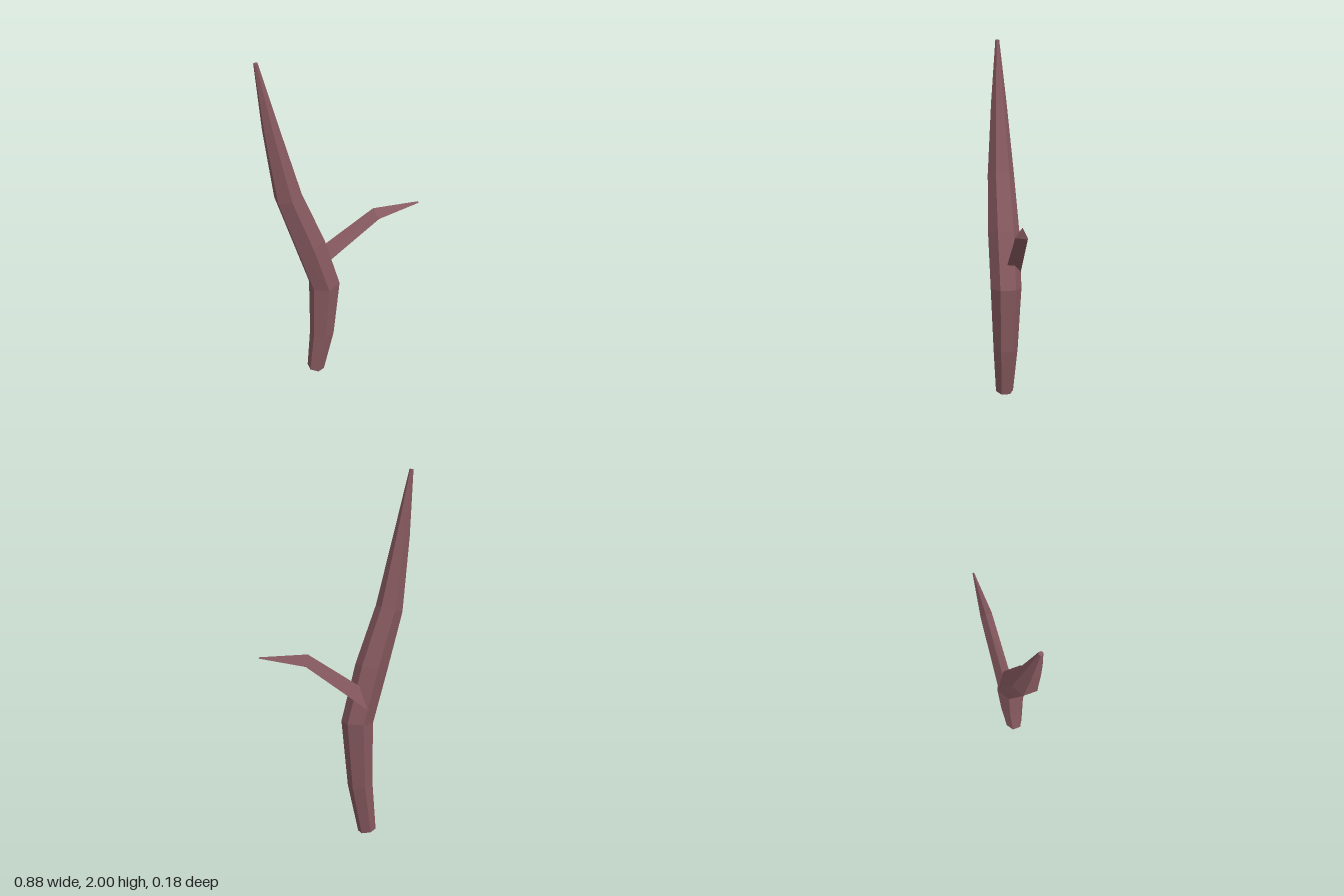
import * as THREE from 'three';

// Skin a list of equal-sized rings of points, closing both ends with a fan.
// Rings run from base to tip, points clockwise as seen from the tip.
function loft(rings) {
  const n = rings[0].length;
  const pos = [];
  const tri = (a, b, c) => pos.push(...a, ...b, ...c);
  for (let i = 0; i < rings.length - 1; i++) {
    for (let j = 0; j < n; j++) {
      const k = (j + 1) % n;
      const a = rings[i][j], b = rings[i][k], c = rings[i + 1][k], d = rings[i + 1][j];
      tri(a, d, c);
      tri(a, c, b);
    }
  }
  const first = rings[0], last = rings[rings.length - 1];
  for (let j = 1; j < n - 1; j++) {
    tri(first[0], first[j], first[j + 1]);
    tri(last[0], last[j + 1], last[j]);
  }
  const geo = new THREE.BufferGeometry();
  geo.setAttribute('position', new THREE.Float32BufferAttribute(pos, 3));
  geo.computeVertexNormals();
  return geo;
}

// Tilted hexagon with flat sides towards its left and right points
function hexRing([lx, ly, rx, ry]) {
  const cx = (lx + rx) / 2, cy = (ly + ry) / 2;
  const r = Math.hypot(rx - lx, ry - ly) / 2 / Math.cos(Math.PI / 6);
  const ring = [];
  for (let j = 0; j < 6; j++) {
    const a = Math.PI / 6 + (j * Math.PI) / 3;
    const u = Math.cos(a) / Math.cos(Math.PI / 6) / 2;
    ring.push([cx + u * (rx - lx), cy + u * (ry - ly), r * Math.sin(a)]);
  }
  return ring;
}

export function createModel() {
  const bark = new THREE.MeshStandardMaterial({ color: 0x875a60, flatShading: true });
  bark.name = 'bark';
  const model = new THREE.Group();
  model.name = 'bareTree';

  const add = (name, geo) => {
    const mesh = new THREE.Mesh(geo, bark);
    mesh.name = name;
    model.add(mesh);
  };

  // Bent trunk: left x, y and right x, y of each ring
  add('trunk', loft([
    [-0.225, 0.018, -0.14, 0.002],
    [-0.2, 0.28, -0.08, 0.275],
    [-0.195, 0.63, -0.045, 0.64],
    [-0.28, 0.925, -0.129, 0.955],
    [-0.37, 1.235, -0.245, 1.27],
    [-0.416, 1.64, -0.341, 1.657],
    [-0.442, 1.998, -0.423, 2.0],
  ].map(hexRing)));

  // Three-sided branch: top, lower back and lower front point of each ring
  add('branch', loft([
    [[-0.17, 0.808, -0.053], [-0.15, 0.715, -0.087], [-0.15, 0.726, -0.001]],
    [[0.18, 1.035, -0.038], [0.2, 0.973, -0.062], [0.2, 0.985, 0.003]],
    [[0.438, 1.033, -0.018], [0.441, 1.026, -0.02], [0.441, 1.027, -0.011]],
  ]));

  return model;
}
